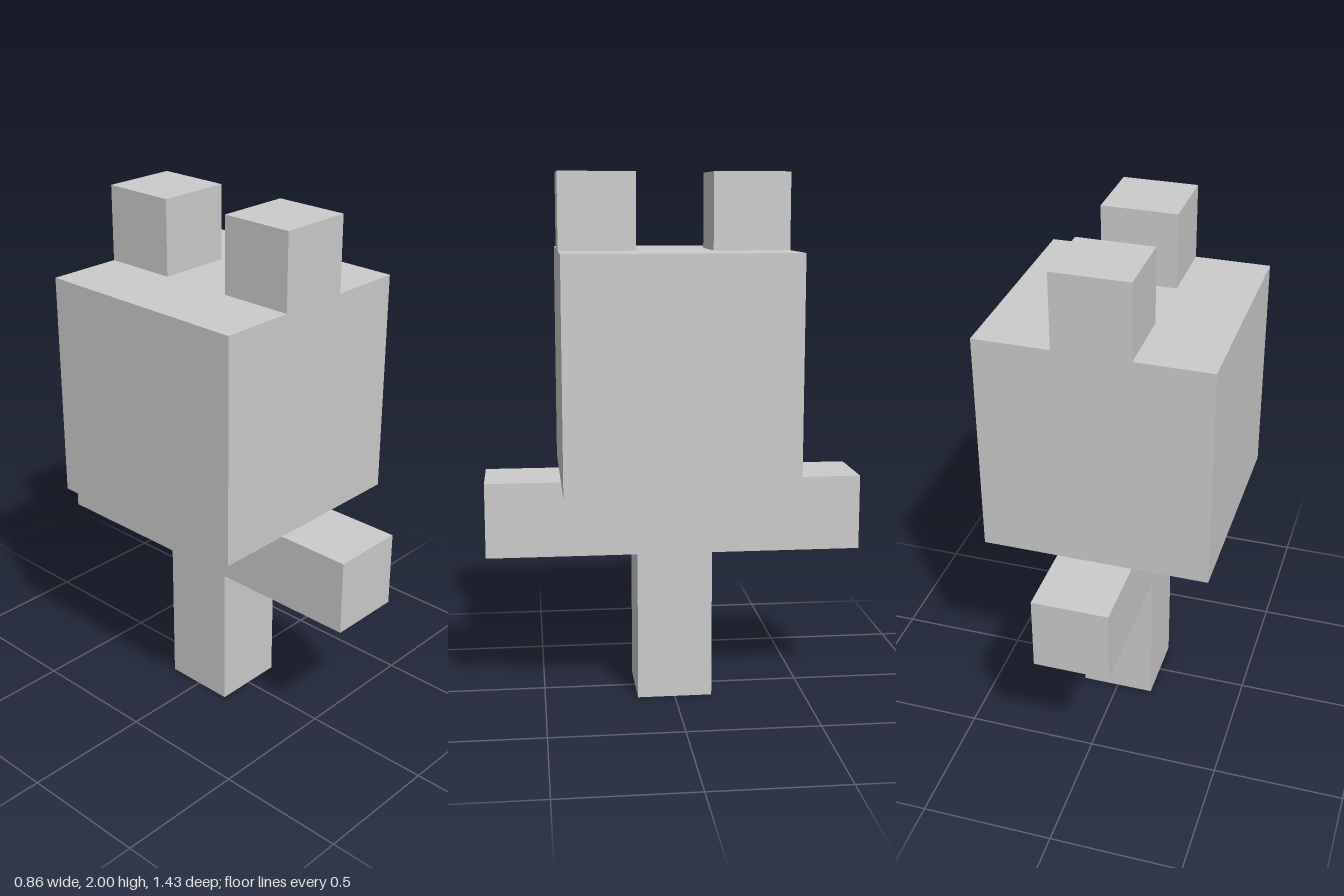
import * as THREE from 'three';

// The figure is seven equal blocks tall
const U = 2 / 7;

export function createModel() {
  const model = new THREE.Group();
  const material = new THREE.MeshStandardMaterial({ color: 0xcccccc, flatShading: true });

  // Box sized in blocks, standing on height y and centred on x = 0
  function block(name, w, h, d, y, z = 0) {
    const mesh = new THREE.Mesh(new THREE.BoxGeometry(w * U, h * U, d * U), material);
    mesh.name = name;
    mesh.position.set(0, (y + h / 2) * U, z * U);
    model.add(mesh);
  }

  block('leg', 1, 2, 1, 0);
  block('arms', 1, 1, 5, 2);
  block('head', 3, 3, 3, 3);

  // Ears flush with the front and back of the head
  block('frontEar', 1, 1, 1, 6, 1);
  block('backEar', 1, 1, 1, 6, -1);

  return model;
}
